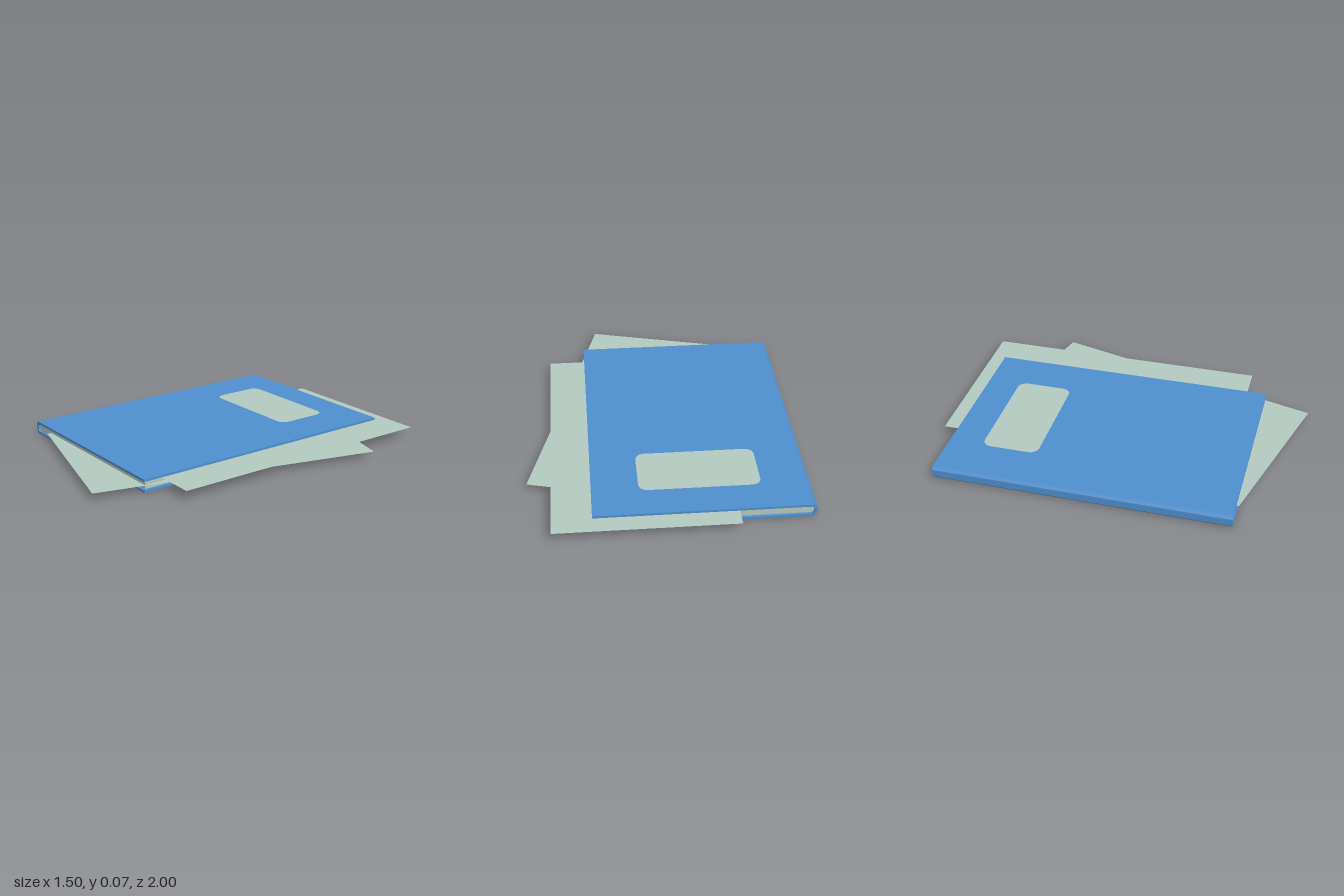
import * as THREE from 'three';

const blue = new THREE.MeshStandardMaterial({ color: 0x4f8fce });
blue.name = 'cover blue';
const paper = new THREE.MeshStandardMaterial({ color: 0xb3c9bf, side: THREE.DoubleSide });
paper.name = 'pale paper';

const H = 0.073, T = 0.013; // closed thickness, cover board thickness

// Extrude an x/y outline from z0 to z1
function prism(name, points, z0, z1, material) {
  const shape = new THREE.Shape(points.map(([x, y]) => new THREE.Vector2(x, y)));
  const geo = new THREE.ExtrudeGeometry(shape, { depth: z1 - z0, bevelEnabled: false });
  geo.translate(0, 0, z0);
  const mesh = new THREE.Mesh(geo, material);
  mesh.name = name;
  return mesh;
}

// Single loose leaf lying flat
function sheet(name, x, y, z, turn) {
  const geo = new THREE.PlaneGeometry(0.97, 1.625).rotateX(-Math.PI / 2);
  const mesh = new THREE.Mesh(geo, paper);
  mesh.position.set(x, y, z);
  mesh.rotation.y = turn;
  mesh.name = name;
  return mesh;
}

export function createModel() {
  const book = new THREE.Group();
  book.name = 'notebook';

  // Wrap-around cover with a chamfered spine, open on the right
  book.add(prism('cover', [
    [0.41, 0], [0.41, T], [-0.725, T], [-0.737, 0.025],
    [-0.737, H - 0.025], [-0.725, H - T], [0.41, H - T], [0.41, H],
    [-0.735, H], [-0.75, H - 0.016], [-0.75, 0.016], [-0.735, 0],
  ], -0.91, 0.74, blue));

  // Page block between the covers
  book.add(prism('pages', [
    [0.395, T], [0.395, H - T], [-0.725, H - T],
    [-0.737, H - 0.025], [-0.737, 0.025], [-0.725, T],
  ], -0.896, 0.726, paper));

  // Loose sheets sticking out of the pages
  book.add(sheet('upperLooseSheet', 0.135, 0.052, -0.19, 0));
  book.add(sheet('lowerLooseSheet', 0.071, 0.035, 0.09, -THREE.MathUtils.degToRad(15)));

  // Title label with rounded corners
  const w = 0.325, h = 0.16, r = 0.05;
  const outline = new THREE.Shape();
  outline.moveTo(-w + r, -h);
  outline.absarc(w - r, -h + r, r, -Math.PI / 2, 0);
  outline.absarc(w - r, h - r, r, 0, Math.PI / 2);
  outline.absarc(-w + r, h - r, r, Math.PI / 2, Math.PI);
  outline.absarc(-w + r, -h + r, r, Math.PI, Math.PI * 1.5);
  const label = new THREE.Mesh(
    new THREE.ShapeGeometry(outline, 4).rotateX(-Math.PI / 2), paper);
  label.position.set(-0.165, H + 0.001, -0.56);
  label.name = 'titleLabel';
  book.add(label);

  return book;
}
